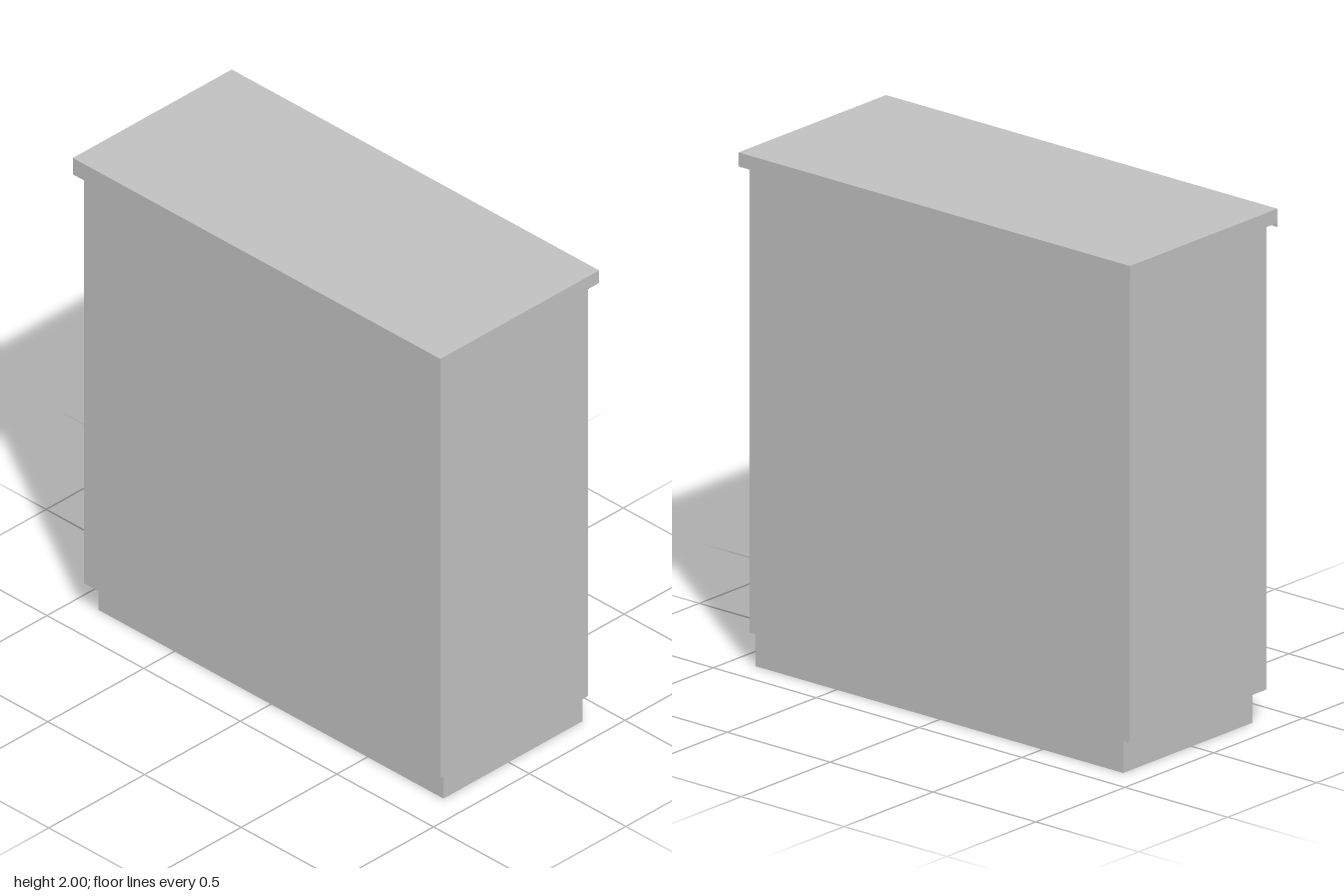
import * as THREE from 'three';

const grey = new THREE.MeshStandardMaterial({ color: 0xc0c0c0, side: THREE.DoubleSide });
grey.name = 'cabinet grey';

// Upright panel of width w between heights y0 and y1, turned about y
function panel(name, w, y0, y1, x, z, turn) {
  const mesh = new THREE.Mesh(new THREE.PlaneGeometry(w, y1 - y0), grey);
  mesh.name = name;
  mesh.position.set(x, (y0 + y1) / 2, z);
  mesh.rotation.y = turn;
  return mesh;
}

export function createModel() {
  const model = new THREE.Group();
  model.name = 'cabinet';
  const toe = 0.125, under = 1.945;
  const bodyX = 0.923, bodyZ = 0.385, baseX = 0.893, baseZ = 0.34;

  // Outer carcass, open at the bottom
  model.add(panel('frontPanel', 2 * bodyX, toe, under, 0, bodyZ, 0));
  model.add(panel('backPanel', 2 * bodyX, toe, under, 0, -bodyZ, Math.PI));

  // Recessed base, its front and ends running up inside the carcass
  model.add(panel('baseFront', 2 * baseX, 0, under, 0, baseZ, 0));
  model.add(panel('baseBack', 2 * baseX, 0, toe, 0, -bodyZ, Math.PI));

  for (const [side, s] of [['left', 1], ['right', -1]]) {
    model.add(panel(side + 'EndPanel', 2 * bodyZ, toe, under, s * bodyX, 0, s * Math.PI / 2));
    model.add(panel(side + 'BaseEnd', baseZ + bodyZ, 0, under, s * baseX, (baseZ - bodyZ) / 2, s * Math.PI / 2));
  }

  // Overhanging worktop with a slightly deeper front lip
  const top = new THREE.Mesh(new THREE.BoxGeometry(1.902, 2 - under, 0.83), grey);
  top.name = 'worktop';
  top.position.y = (2 + under) / 2;
  model.add(top);
  model.add(panel('worktopFrontLip', 1.902, 1.928, under, 0, 0.415, 0));

  return model;
}
